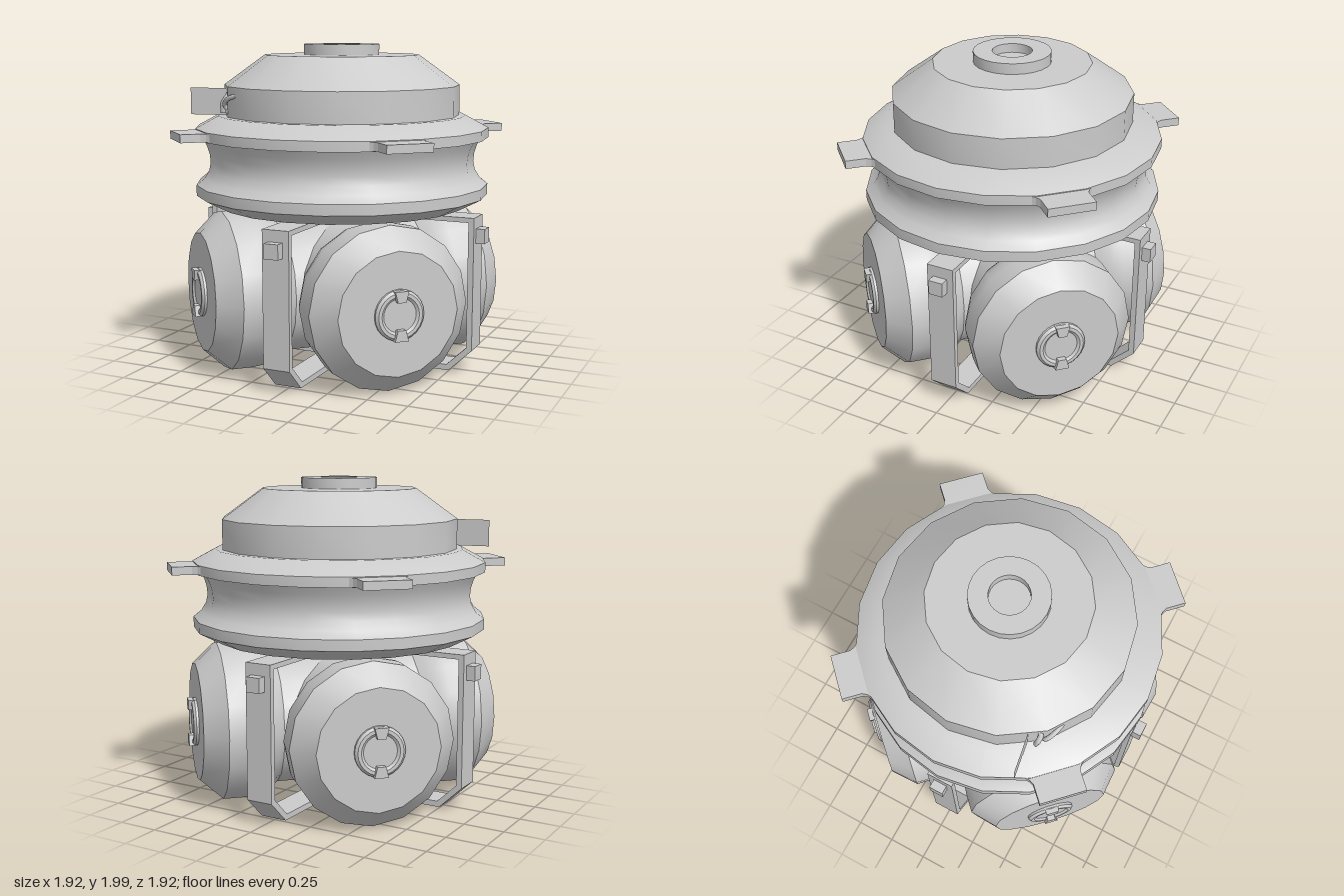
import * as THREE from 'three';
import { toCreasedNormals } from 'three/addons/utils/BufferGeometryUtils.js';

const grey = new THREE.MeshStandardMaterial({ color: 0xcccccc });
const thin = new THREE.MeshStandardMaterial({ color: 0xcccccc, side: THREE.DoubleSide });

function part(name, geometry, parent, x = 0, y = 0, z = 0, material = grey) {
  const mesh = new THREE.Mesh(geometry, material);
  mesh.name = name;
  mesh.position.set(x, y, z);
  parent.add(mesh);
  return mesh;
}

const points = list => list.map(([x, y]) => new THREE.Vector2(x, y));
const lathe = (list, sides) => toCreasedNormals(new THREE.LatheGeometry(points(list), sides), 0.55);
const box = (w, h, d) => new THREE.BoxGeometry(w, h, d);

function tube(list, radius) {
  const curve = new THREE.CatmullRomCurve3(list.map(p => new THREE.Vector3(...p)));
  return new THREE.TubeGeometry(curve, 12, radius, 8);
}

export function createModel() {
  const model = new THREE.Group();
  model.name = 'tankModule';

  // Spool-shaped collar
  part('collar', lathe([
    [0, 1.0], [0.77, 1.0], [0.915, 1.075], [0.915, 1.14],
    [0.865, 1.18], [0.835, 1.23], [0.825, 1.28], [0.83, 1.33], [0.845, 1.38], [0.87, 1.43],
    [0.915, 1.43], [0.915, 1.49], [0.775, 1.565], [0, 1.565],
  ], 20), model);

  // Dome with an open round socket on top
  part('dome', lathe([[0.735, 1.55], [0.735, 1.75], [0.48, 1.935], [0, 1.935]], 16), model);
  part('topSocket', lathe([
    [0.235, 1.93], [0.235, 2.0], [0.12, 2.0], [0.12, 1.945], [0, 1.945],
  ], 24), model);

  // Four flat lugs on the collar, flaring into its rim
  const lugShape = new THREE.Shape(points([
    [-0.2, 0.7], [0.2, 0.7], [0.2, 0.87], [0.155, 0.91], [0.14, 0.94],
    [0.14, 1.06], [-0.14, 1.06], [-0.14, 0.94], [-0.155, 0.91], [-0.2, 0.87],
  ]));
  const lug = new THREE.ExtrudeGeometry(lugShape, { depth: 0.05, bevelEnabled: false });
  lug.rotateX(Math.PI / 2);

  // Four diagonal tanks: narrow neck, wide drum, chamfered flat end
  const tank = lathe([
    [0, 0], [0.41, 0], [0.41, 0.44], [0.435, 0.475], [0.465, 0.525], [0.486, 0.59],
    [0.493, 0.66], [0.493, 0.785], [0.368, 0.92], [0, 0.92],
  ], 16).rotateX(Math.PI / 2);
  const port = lathe([
    [0.15, 0.91], [0.15, 0.935], [0.135, 0.95], [0.115, 0.95], [0.1, 0.938], [0, 0.938],
  ], 24).rotateX(Math.PI / 2);

  // Port clip, wider at its outer edge
  const clipShape = new THREE.Shape(points([[-0.025, 0], [0.025, 0], [0.042, 0.065], [-0.042, 0.065]]));
  const clip = new THREE.ExtrudeGeometry(clipShape, { depth: 0.05, bevelEnabled: false });

  for (let i = 0; i < 4; i++) {
    const corner = new THREE.Group();
    corner.name = 'corner' + (i + 1);
    corner.rotation.y = Math.PI / 4 + i * Math.PI / 2;
    model.add(corner);
    part('lug', lug, corner, 0, 1.485, 0);
    part('tank', tank, corner, 0, 0.5, 0);
    part('tankPort', port, corner, 0, 0.5, 0);
    part('upperClip', clip, corner, 0, 0.58, 0.92);
    part('lowerClip', clip, corner, 0, 0.42, 0.97).rotation.x = Math.PI;
  }

  // Two crossed strap loops between the tanks
  const strapShape = new THREE.Shape(points([
    [-0.905, 0.98], [-0.905, 0.16], [-0.76, 0.02], [0.76, 0.02], [0.905, 0.16], [0.905, 0.98],
  ]));
  strapShape.holes.push(new THREE.Path(points([
    [-0.87, 0.95], [0.87, 0.95], [0.87, 0.175], [0.745, 0.055], [-0.745, 0.055], [-0.87, 0.175],
  ])));
  const strap = new THREE.ExtrudeGeometry(strapShape, { depth: 0.17, bevelEnabled: false });
  strap.translate(0, 0, -0.085);
  for (let i = 0; i < 2; i++) {
    const frame = new THREE.Group();
    frame.name = 'strapFrame' + (i + 1);
    frame.rotation.y = i * Math.PI / 2;
    model.add(frame);
    part('strap', strap, frame);
    for (const side of [-1, 1]) part('strapBolt', box(0.07, 0.09, 0.09), frame, side * 0.925, 0.865, 0);
  }

  // Thin side plate with its hooked brackets
  const plate = part('sidePlate', new THREE.PlaneGeometry(0.39, 0.165), model, -0.62, 1.653, 0.435, thin);
  plate.rotation.y = 0.16;
  part('upperHook', tube([
    [-0.575, 1.59, 0.48], [-0.57, 1.65, 0.49], [-0.54, 1.69, 0.49], [-0.53, 1.73, 0.46],
  ], 0.016), model);
  part('lowerHook', tube([
    [-0.52, 1.60, 0.50], [-0.54, 1.64, 0.52], [-0.5, 1.68, 0.55], [-0.43, 1.70, 0.57],
  ], 0.014), model);
  part('hookKnob', new THREE.SphereGeometry(0.024, 10, 8), model, -0.52, 1.6, 0.5);

  return model;
}
